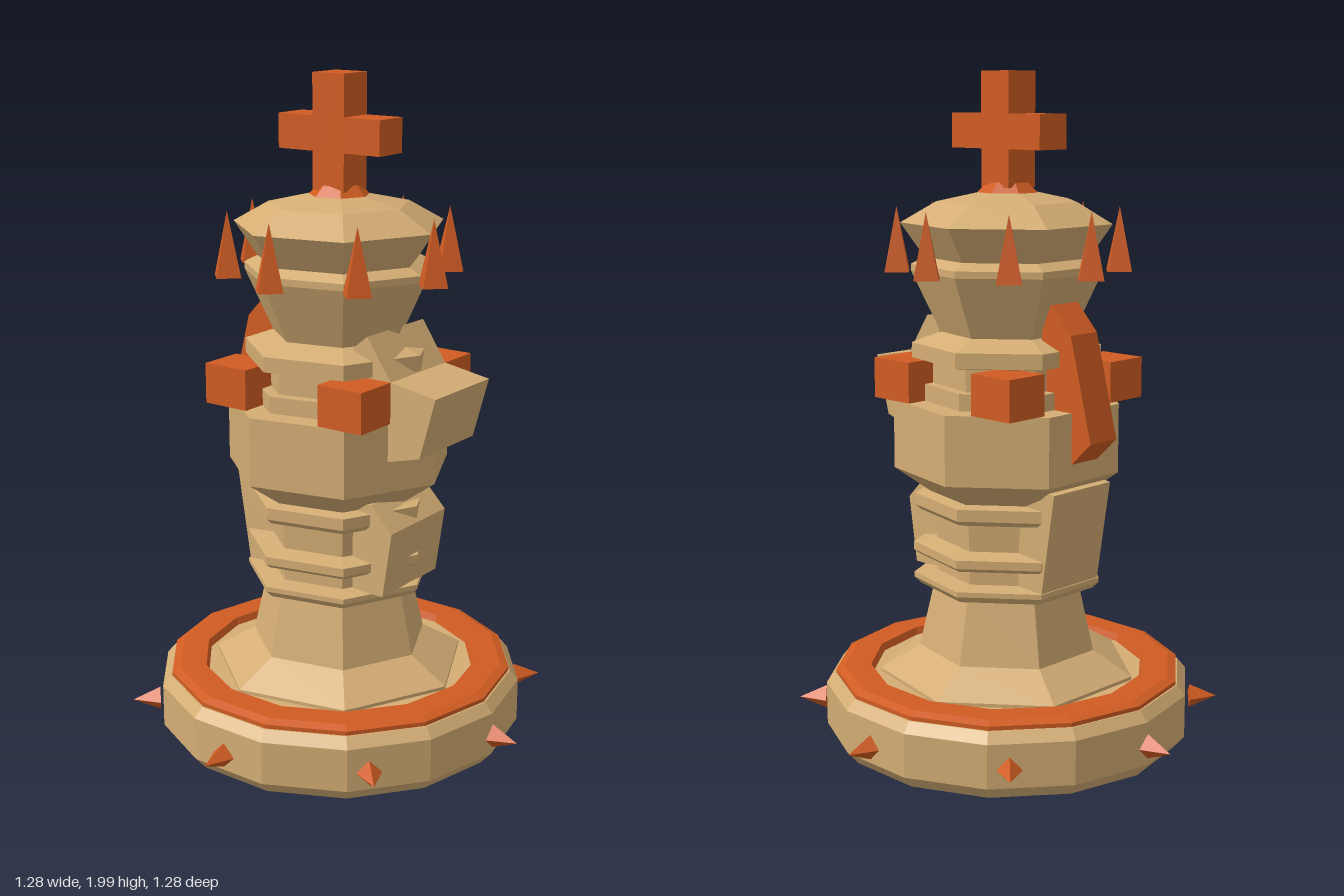
import * as THREE from 'three';

const cream = new THREE.MeshStandardMaterial({ color: 0xd4ad74 });
cream.name = 'cream';
const orange = new THREE.MeshStandardMaterial({ color: 0xd05c22 });
orange.name = 'orange';

export function createModel() {
  const model = new THREE.Group();
  model.name = 'chessKing';

  // Facets any geometry and adds it as a named mesh
  function add(name, geometry, material, x = 0, y = 0, z = 0) {
    const flat = geometry.index ? geometry.toNonIndexed() : geometry;
    flat.computeVertexNormals();
    const mesh = new THREE.Mesh(flat, material);
    mesh.name = name;
    mesh.position.set(x, y, z);
    model.add(mesh);
    return mesh;
  }
  // Low-poly turned part with one corner on +x; profile runs bottom to top
  function turned(name, profile, sides, material) {
    const points = profile.map(([r, y]) => new THREE.Vector2(r, y));
    return add(name, new THREE.LatheGeometry(points, sides, Math.PI / 2), material);
  }
  // Side outline in x and y, extruded evenly about z = 0
  function slab(name, outline, width, material) {
    const shape = new THREE.Shape(outline.map(([x, y]) => new THREE.Vector2(x, y)));
    const geometry = new THREE.ExtrudeGeometry(shape, { depth: width, bevelEnabled: false });
    return add(name, geometry.translate(0, 0, -width / 2), material);
  }

  // Base and its orange rim
  turned('base', [[0, 0.01], [0.52, 0.01], [0.555, 0.05], [0.555, 0.18], [0.53, 0.21], [0, 0.21]], 14, cream);
  turned('baseRim', [[0.41, 0.205], [0.525, 0.205], [0.525, 0.222], [0.5, 0.232], [0.42, 0.232], [0.41, 0.205]], 14, orange);

  // Seven-sided body: skirt, stem, rings, waist and collar
  turned('body', [
    [0.39, 0.21], [0.39, 0.22], [0.27, 0.29], [0.225, 0.485],
    [0.265, 0.485], [0.285, 0.505], [0.285, 0.52], [0.215, 0.525],
    [0.215, 0.575], [0.27, 0.578], [0.285, 0.59], [0.285, 0.615], [0.215, 0.625],
    [0.22, 0.715], [0.265, 0.715], [0.28, 0.73], [0.28, 0.765], [0.235, 0.77],
    [0.34, 0.845], [0.34, 1.05], [0.265, 1.05], [0.265, 1.1], [0.23, 1.1],
    [0.23, 1.165], [0.285, 1.175], [0.285, 1.22], [0.2, 1.25],
  ], 7, cream);
  // Flared crown and domed cap
  turned('crown', [
    [0.2, 1.25], [0.285, 1.43], [0.285, 1.45], [0.245, 1.47],
    [0.315, 1.57], [0.21, 1.63], [0.09, 1.655], [0, 1.66],
  ], 7, cream);

  // Finial collar and cross
  turned('crossCollar', [[0.075, 1.64], [0.09, 1.655], [0.06, 1.685], [0, 1.685]], 7, orange);
  add('crossUpright', new THREE.BoxGeometry(0.11, 0.33, 0.11), orange, 0, 1.835, 0);
  add('crossBar', new THREE.BoxGeometry(0.355, 0.1, 0.11), orange, 0, 1.83, 0);

  // Spikes around the crown and the base
  for (let i = 0; i < 8; i++) {
    const a = (i * Math.PI) / 4;
    add('crownSpike', new THREE.ConeGeometry(0.05, 0.19, 4),
      orange, 0.325 * Math.cos(a), 1.52, 0.325 * Math.sin(a));
    const spike = new THREE.ConeGeometry(0.037, 0.083, 4);
    spike.rotateZ(-Math.PI / 2).translate(0.6, 0, 0).rotateY(a);
    add('baseSpike', spike, orange, 0, 0.11, 0);
  }

  // Four corner blocks
  for (const x of [-0.205, 0.205]) {
    for (const z of [-0.21, 0.21]) {
      add('cornerBlock', new THREE.BoxGeometry(0.15, 0.12, 0.14), orange, x, 1.11, z);
    }
  }

  // Side pieces: block and panel on +x, fin and panel on -x
  slab('sideBlock', [[0.15, 1.0], [0.27, 0.935], [0.38, 0.965], [0.43, 1.145], [0.28, 1.17], [0.2, 1.29], [0.15, 1.25]], 0.28, cream);
  slab('leftPanel', [[0.15, 0.52], [0.258, 0.52], [0.288, 0.72], [0.215, 0.795], [0.15, 0.795]], 0.28, cream);
  slab('rightPanel', [[-0.15, 0.84], [-0.3, 0.82], [-0.25, 0.5], [-0.15, 0.5]], 0.24, cream);
  slab('rightFin', [[-0.19, 1.1], [-0.19, 1.33], [-0.225, 1.35], [-0.3, 1.27], [-0.378, 0.97], [-0.305, 0.9]], 0.11, orange);

  return model;
}
